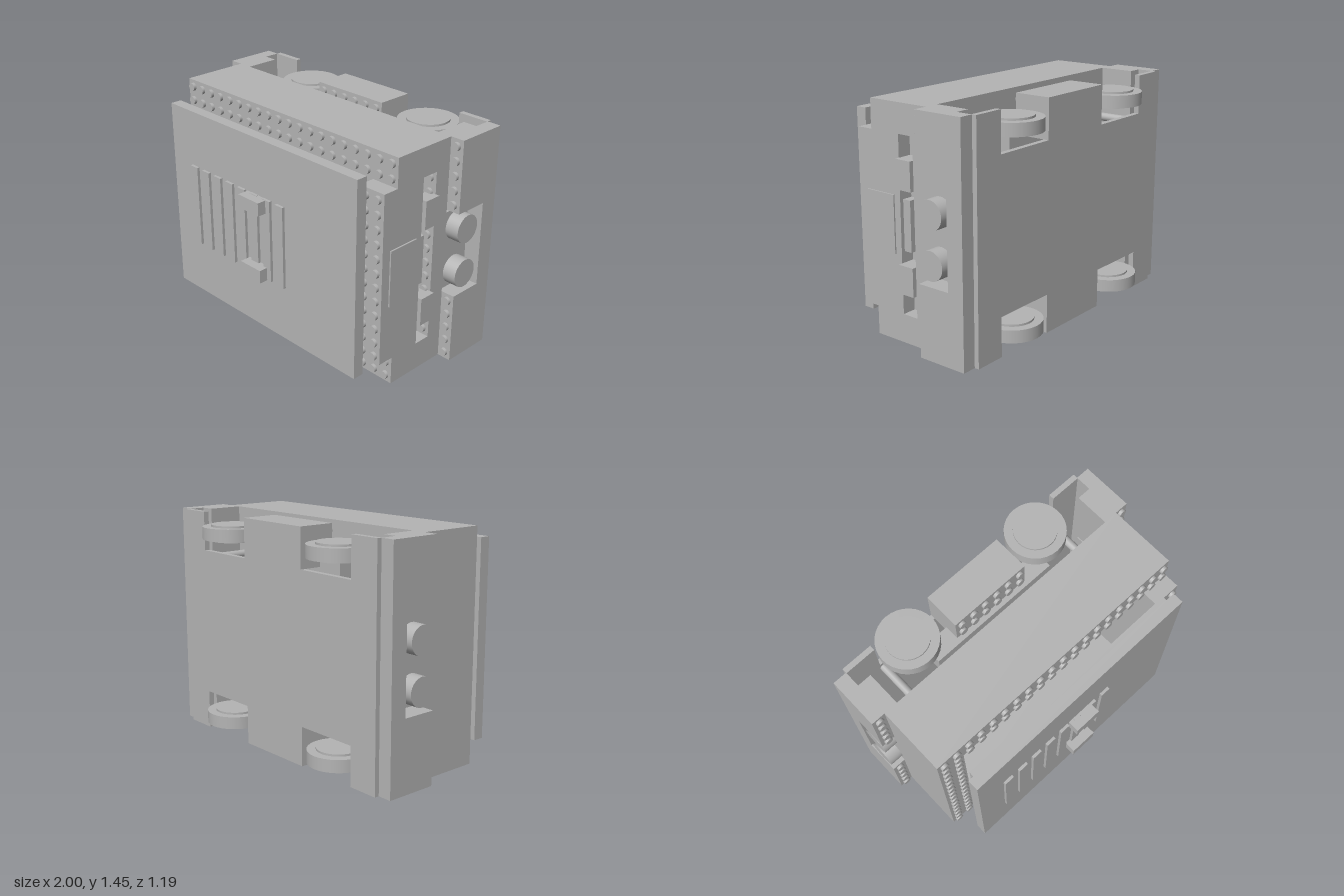
import * as THREE from 'three';
import { mergeGeometries } from 'three/addons/utils/BufferGeometryUtils.js';

const U = 2 / 22; // stud pitch
const H = 16 * U; // full height
const grey = new THREE.MeshStandardMaterial({ color: 0xb4b4b4 });
grey.name = 'light grey';

export function createModel() {
  const root = new THREE.Group();
  root.name = 'safe';

  const add = (name, geometry) => {
    const m = new THREE.Mesh(geometry, grey);
    m.name = name;
    root.add(m);
    return m;
  };
  // box from its minimum and maximum corners
  const box = (name, x0, x1, y0, y1, z0, z1) =>
    add(name, new THREE.BoxGeometry(x1 - x0, y1 - y0, z1 - z0))
      .position.set((x0 + x1) / 2, (y0 + y1) / 2, (z0 + z1) / 2);
  // same box at the bottom and at the top
  const boxTopBottom = (name, x0, x1, y0, y1, z0, z1) => {
    box(name, x0, x1, y0, y1, z0, z1);
    box(name, x0, x1, H - y1, H - y0, z0, z1);
  };
  // studs facing +z, at [x, y] centres
  const studs = (name, points, z) => add(name, mergeGeometries(points.map(([x, y]) =>
    new THREE.CylinderGeometry(0.026, 0.026, 0.02, 16).rotateX(Math.PI / 2).translate(x, y, z + 0.01))));
  const sx = i => -1 + (i + 0.5) * U; // columns 0..21
  const sy = k => (k + 0.5) * U; // rows 0..15

  // Safe body: hollow frame with a rear wall
  const B = 10 * U, I = 8 * U, F = 0.305, R = -0.13;
  boxTopBottom('bodyBeam', -B, B, 0, 2 * U, R, F);
  box('bodyLeftOuterWall', -B, -I, 2 * U, 14 * U, R, F);
  box('rearWall', -I, I, 2 * U, 14 * U, R, -0.04);
  box('hingeInnerWall', I, 9 * U, 2 * U, 14 * U, R, F);
  box('hingeRearWall', 9 * U, B, 2 * U, 14 * U, R, -0.02);
  box('hingeColumn', I, B, 2 * U, 14 * U, 0.09, 0.41);
  box('sidePanel', B, B + 0.009, 0.55, 0.91, 0.135, 0.35);
  box('hingeCore', 9 * U, 0.885, 0.57, 0.885, 0.035, 0.09);
  boxTopBottom('hingeKnuckle', 9 * U, 0.936, 0.32, 0.5, -0.02, 0.09);

  // Studs on the body front
  const frameStuds = [], hingeStuds = [], rearStuds = [];
  for (let k = 0; k < 16; k++) {
    const edge = k < 2 || k > 13;
    for (let i = 1; i < 21; i++) {
      if (edge || i < 3) frameStuds.push([sx(i), sy(k)]);
      else if (i > 18) hingeStuds.push([sx(i), sy(k)]);
    }
    if (!edge) rearStuds.push([sx(20), sy(k)]);
  }
  studs('frameStuds', frameStuds, F);
  studs('hingeStuds', hingeStuds, 0.41);
  studs('hingeRearStuds', rearStuds, -0.02);

  // Door with ribs and two handle blocks
  box('doorInner', -0.775, 0.775, 0.138, H - 0.138, 0.41, 0.45);
  box('door', -0.818, 0.815, U, H - U, 0.45, 0.522);
  for (let i = 0; i < 8; i++) {
    const x = -0.595 + i * 0.1138;
    box('doorRib', x - 0.033, x + 0.033, 0.457, 1, 0.522, 0.54);
  }
  boxTopBottom('handleBlock', -0.092, 0.086, 0.457, 0.543, 0.522, 0.597);

  // Side posts with a window holding two cylinders
  for (const s of [-1, 1]) {
    const side = (name, a, b, y0, y1, z0, z1) =>
      box(name, Math.min(s * a, s * b), Math.max(s * a, s * b), y0, y1, z0, z1);
    for (const [y0, y1] of [[0, 5 * U], [11 * U, H]]) {
      side('sidePost', B, 1, y0, y1, -0.46, R);
      side('sidePostInner', 9 * U, B, y0, y1, -0.355, R);
    }
    side('sidePostRear', B, 1, 5 * U, 11 * U, -0.46, -0.35);
    side('cylinderMount', 9 * U, B, 0.475, 0.983, -0.33, R);
    for (const y of [0.58, 0.875]) {
      const c = add('sideCylinder', new THREE.CylinderGeometry(0.09, 0.09, 0.09, 32));
      c.rotation.z = Math.PI / 2;
      c.position.set(s * 0.954, y, -0.22);
    }
    const points = [];
    for (let k = 0; k < 16; k++) if (k < 5 || k > 10) points.push([s * sx(21), sy(k)]);
    studs('sidePostStuds', points, R);
  }

  // Rear plate notched around the wheels
  const n0 = 3 * U, n1 = 0.705, nd = 0.25, s = new THREE.Shape();
  s.setFromPoints([
    [-B, 0], [-n1, 0], [-n1, nd], [-n0, nd], [-n0, 0], [n0, 0], [n0, nd], [n1, nd], [n1, 0], [B, 0],
    [B, H], [n1, H], [n1, H - nd], [n0, H - nd], [n0, H], [-n0, H], [-n0, H - nd], [-n1, H - nd], [-n1, H], [-B, H],
  ].map(([x, y]) => new THREE.Vector2(x, y)));
  add('rearPlate', new THREE.ExtrudeGeometry(s, { depth: 0.035, bevelEnabled: false })).position.z = -0.49;

  // Wheel blocks, axle bars, spacer rods and wheels, top and bottom
  boxTopBottom('wheelBlock', -n0, n0, 0, nd, -0.455, -0.25);
  boxTopBottom('axleBar', -0.45, 0.45, 0.19, 0.34, -0.345, -0.215);
  const blockStuds = [];
  for (let i = 0; i < 6; i++)
    for (const k of [0, 1, 14, 15]) blockStuds.push([(i - 2.5) * U, sy(k)]);
  studs('wheelBlockStuds', blockStuds, -0.25);
  for (const y of [0.3, H - 0.3])
    for (const x of [-0.685, 0, 0.685]) {
      const rod = add('spacerRod', new THREE.CylinderGeometry(0.027, 0.027, 0.33, 16));
      rod.rotation.x = Math.PI / 2;
      rod.position.set(x, y, -0.295);
    }
  for (const y of [0.119, H - 0.119])
    for (const x of [-0.51, 0.51]) {
      add('tyre', new THREE.CylinderGeometry(0.19, 0.19, 0.08, 32)).position.set(x, y, -0.407);
      add('hub', new THREE.CylinderGeometry(0.135, 0.135, 0.106, 32)).position.set(x, y, -0.407);
    }
  return root;
}
